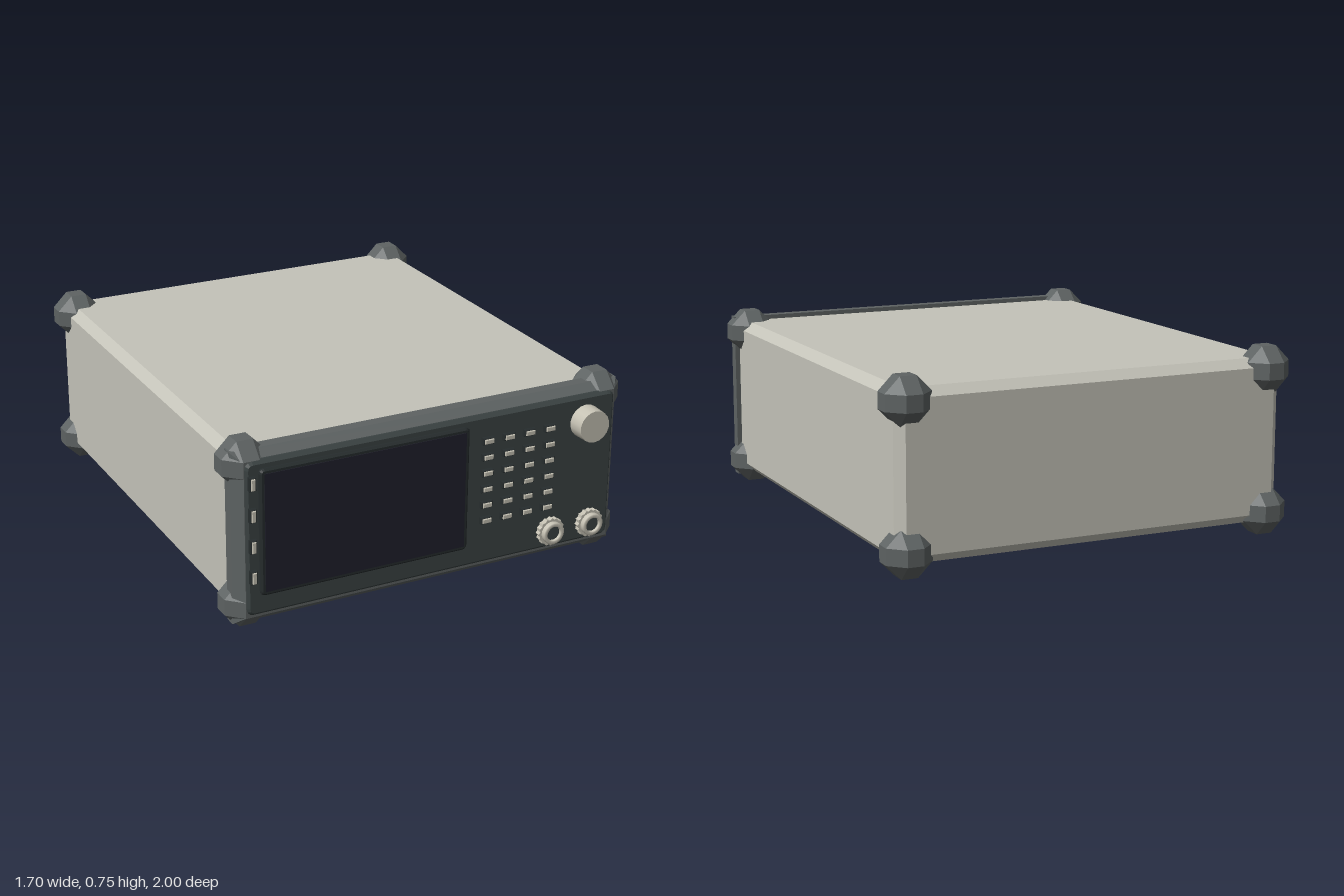
import * as THREE from 'three';
import { ConvexGeometry } from 'three/addons/geometries/ConvexGeometry.js';

const mat = (name, color) => {
  const m = new THREE.MeshStandardMaterial({ color });
  m.name = name;
  return m;
};

// Box with all edges cut at 45 degrees
function chamferBox(w, h, d, c) {
  const pts = [];
  for (const sx of [-1, 1]) for (const sy of [-1, 1]) for (const sz of [-1, 1]) {
    const x = w / 2, y = h / 2, z = d / 2;
    pts.push(new THREE.Vector3(sx * x, sy * (y - c), sz * (z - c)));
    pts.push(new THREE.Vector3(sx * (x - c), sy * y, sz * (z - c)));
    pts.push(new THREE.Vector3(sx * (x - c), sy * (y - c), sz * z));
  }
  return new ConvexGeometry(pts);
}

// Block whose front (+z) edges are cut: straight for "side", then tapering by c
function taperBlock(w, h, d, c, side = d - c) {
  const pts = [];
  for (const sx of [-1, 1]) for (const sy of [-1, 1]) {
    pts.push(new THREE.Vector3(sx * w / 2, sy * h / 2, 0));
    pts.push(new THREE.Vector3(sx * w / 2, sy * h / 2, side));
    pts.push(new THREE.Vector3(sx * (w / 2 - c), sy * (h / 2 - c), d));
  }
  return new ConvexGeometry(pts);
}

// Plate with rounded corners and a bevelled front rim
function roundedPlate(w, h, d, r, bevel) {
  const x = w / 2 - bevel, y = h / 2 - bevel;
  const s = new THREE.Shape();
  s.moveTo(-x + r, -y);
  s.lineTo(x - r, -y).quadraticCurveTo(x, -y, x, -y + r);
  s.lineTo(x, y - r).quadraticCurveTo(x, y, x - r, y);
  s.lineTo(-x + r, y).quadraticCurveTo(-x, y, -x, y - r);
  s.lineTo(-x, -y + r).quadraticCurveTo(-x, -y, -x + r, -y);
  return new THREE.ExtrudeGeometry(s, {
    depth: d - bevel, bevelEnabled: true, bevelSize: bevel, bevelThickness: bevel,
    bevelSegments: 1, curveSegments: 3,
  });
}

export function createModel() {
  const model = new THREE.Group();
  model.name = 'benchInstrument';

  const casing = mat('casingGrey', 0xc4c3b9);
  const rubber = mat('bumperGrey', 0x5e6363);
  const panelMat = mat('panelDark', 0x3b4343);
  const trim = mat('trimDark', 0x262c2d);
  const glass = mat('screenGlass', 0x20202c);
  const metal = mat('controlLight', 0xc6c2b4);

  function add(name, geometry, material, x, y, z, parent = model) {
    const mesh = new THREE.Mesh(geometry, material);
    mesh.name = name;
    mesh.position.set(x, y, z);
    parent.add(mesh);
    return mesh;
  }

  // Metal case
  add('case', chamferBox(1.62, 0.655, 1.805, 0.035), casing, 0, 0.3775, -0.0525);

  // Corner bumpers
  const bumper = chamferBox(0.185, 0.185, 0.185, 0.06);
  for (const x of [-0.757, 0.757]) for (const y of [0.0925, 0.6575]) for (const z of [-0.9075, 0.8275]) {
    add('cornerBumper', bumper, rubber, x, y, z);
  }

  // Feet, tapering downwards
  const foot = taperBlock(0.155, 0.18, 0.05, 0.012);
  foot.rotateX(Math.PI / 2);
  for (const x of [-0.545, 0.545]) for (const z of [-0.65, 0.575]) {
    add('foot', foot, trim, x, 0.053, z);
  }

  // Front frame and panel
  add('frontFrame', taperBlock(1.65, 0.695, 0.09, 0.036, 0.045), rubber, 0, 0.3725, 0.83);
  add('frontPanel', roundedPlate(1.58, 0.625, 0.03, 0.02, 0.014), panelMat, 0, 0.38, 0.901);

  // Screen with raised surround
  add('screenSurround', roundedPlate(0.87, 0.51, 0.022, 0.012, 0.008), trim, -0.303, 0.407, 0.925);
  add('screen', new THREE.BoxGeometry(0.835, 0.475, 0.006), glass, -0.303, 0.407, 0.947);

  // Keys: dark base with a light cap
  function key(name, w, h, x, y) {
    const g = new THREE.Group();
    g.name = name;
    g.position.set(x, y, 0.929);
    add('keyBase', taperBlock(w, h, 0.018, 0.004), trim, 0, 0, 0, g);
    add('keyCap', taperBlock(w - 0.012, h - 0.01, 0.007, 0.002), metal, 0, 0, 0.0175, g);
    model.add(g);
  }
  for (let col = 0; col < 4; col++) for (let row = 0; row < 6; row++) {
    key('keypadKey', 0.05, 0.028, 0.215 + col * 0.091, 0.59 - row * 0.0665);
  }
  for (let row = 0; row < 4; row++) key('sideKey', 0.028, 0.055, -0.765, 0.61 - row * 0.125);

  // Rotary knob
  const knob = new THREE.CylinderGeometry(0.065, 0.068, 0.072, 18);
  knob.rotateX(Math.PI / 2);
  add('rotaryKnob', knob, metal, 0.655, 0.585, 0.964);

  // Connectors: knurled flange, hollow barrel, dark socket
  const flangeShape = new THREE.Shape();
  for (let i = 0; i < 32; i++) {
    const a = (i / 32) * Math.PI * 2, r = i % 2 ? 0.053 : 0.059;
    flangeShape[i ? 'lineTo' : 'moveTo'](Math.cos(a) * r, Math.sin(a) * r);
  }
  const flange = new THREE.ExtrudeGeometry(flangeShape, { depth: 0.025, bevelEnabled: false });
  const barrelProfile = [[0.046, 0], [0.046, 0.043], [0.042, 0.046], [0.032, 0.046], [0.03, 0.043], [0.03, 0.02]];
  const barrel = new THREE.LatheGeometry(barrelProfile.map(([r, y]) => new THREE.Vector2(r, y)), 20);
  barrel.rotateX(Math.PI / 2);
  const socket = new THREE.CylinderGeometry(0.031, 0.031, 0.006, 20);
  socket.rotateX(Math.PI / 2);
  for (const x of [0.51, 0.69]) {
    const g = new THREE.Group();
    g.name = 'connector';
    g.position.set(x, 0.147, 0.929);
    add('connectorFlange', flange, metal, 0, 0, 0, g);
    add('connectorBarrel', barrel, metal, 0, 0, 0, g);
    add('connectorSocket', socket, panelMat, 0, 0, 0.03, g);
    model.add(g);
  }

  return model;
}
